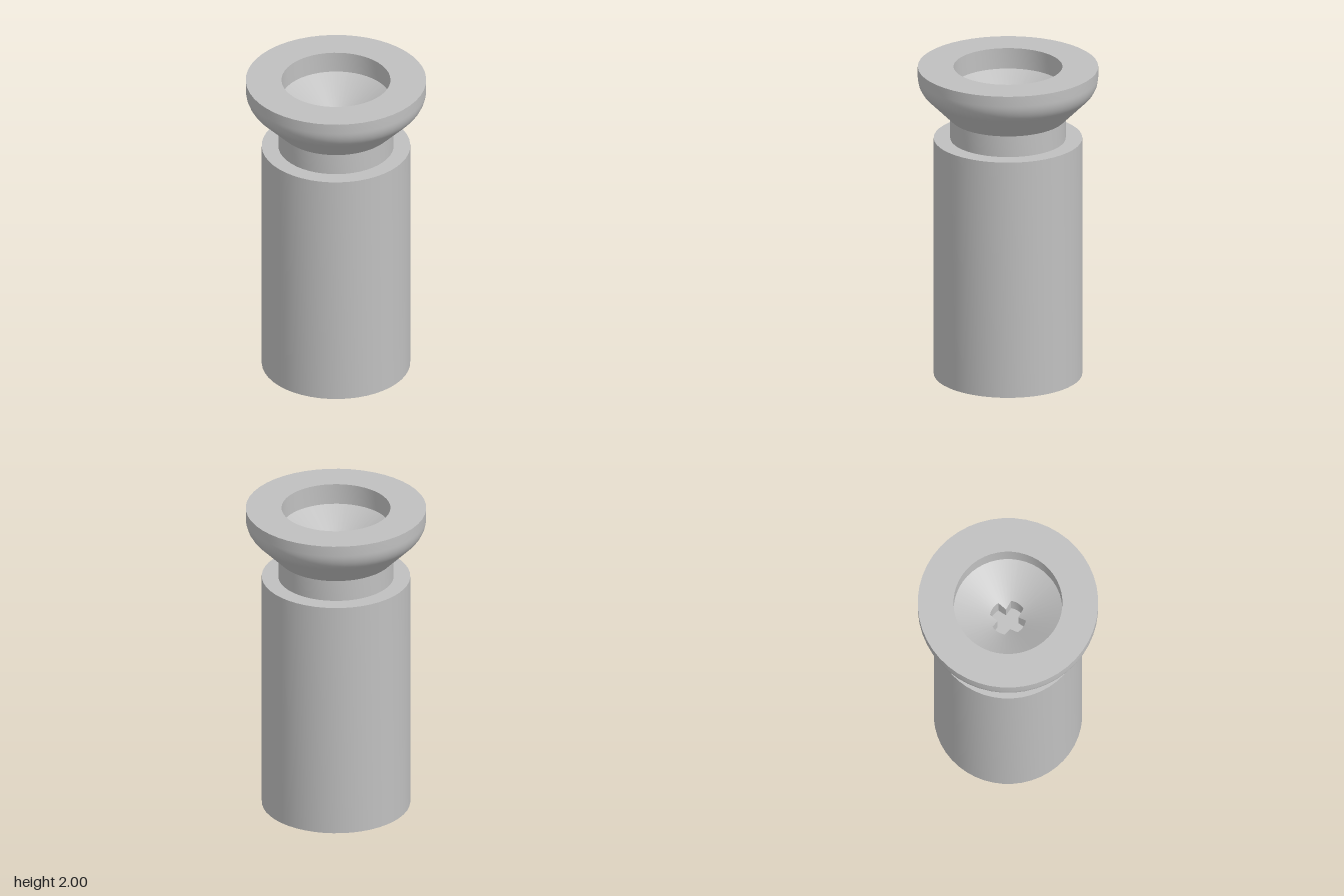
import * as THREE from 'three';
import { toCreasedNormals } from 'three/addons/utils/BufferGeometryUtils.js';

const SEGMENTS = 48;
const CREASE = Math.PI / 6;

export function createModel() {
  const group = new THREE.Group();
  const grey = new THREE.MeshStandardMaterial({ color: 0xc0c0c0 });
  grey.name = 'grey';

  const add = (name, geometry) => {
    const mesh = new THREE.Mesh(toCreasedNormals(geometry, CREASE), grey);
    mesh.name = name;
    group.add(mesh);
  };
  const turned = (name, profile) =>
    add(name, new THREE.LatheGeometry(profile.map(([r, y]) => new THREE.Vector2(r, y)), SEGMENTS));

  // Solid cylindrical body with a flat shoulder
  turned('body', [[0, 0], [0.457, 0], [0.457, 1.535], [0.355, 1.535]]);

  // Narrow neck
  turned('neck', [[0.355, 1.535], [0.355, 1.67]]);

  // Head: 45 degree flare, rounded shoulder, flat rim, straight bore
  const head = [[0.355, 1.67]];
  const round = 0.157, steps = 8;
  for (let i = 0; i <= steps; i++) {
    const a = (-Math.PI / 4) * (1 - i / steps);
    head.push([0.555 - round + round * Math.cos(a), 1.935 + round * Math.sin(a)]);
  }
  head.push([0.555, 2], [0.335, 2], [0.335, 1.867]);
  turned('head', head);

  // Conical seat with a cross-shaped recess at its centre
  const armRadius = 0.112, armHalf = 0.046, boreRadius = 0.335;
  const floorY = 1.6, coneY = (r) => 1.867 - 0.6 * (boreRadius - r);
  const corner = Math.asin(armHalf / armRadius);
  const angles = [];
  for (let q = 0; q < 4; q++) {
    const mid = (q * Math.PI) / 2;
    for (let i = -6; i < 6; i++) angles.push(mid + (i * 2 * Math.PI) / SEGMENTS);
    angles.push(mid - corner, mid + corner);
  }
  angles.sort((a, b) => a - b);

  // Distance from the axis to the cross outline
  const crossRadius = (t) => {
    const fromArm = Math.abs(t - Math.round(t / (Math.PI / 2)) * (Math.PI / 2));
    return Math.min(armRadius, armHalf / Math.max(Math.sin(fromArm), 1e-6));
  };
  const rowsAt = (t) => {
    const c = crossRadius(t);
    return [[0, floorY], [c, floorY], [c, coneY(c)], [boreRadius, coneY(boreRadius)]]
      .map(([r, y]) => [r * Math.sin(t), y, r * Math.cos(t)]);
  };
  const positions = [];
  angles.forEach((t, i) => {
    const a = rowsAt(t), b = rowsAt(angles[(i + 1) % angles.length]);
    for (let k = 0; k < 3; k++) {
      positions.push(...a[k], ...a[k + 1], ...b[k + 1]);
      if (k > 0) positions.push(...a[k], ...b[k + 1], ...b[k]);
    }
  });
  const seat = new THREE.BufferGeometry();
  seat.setAttribute('position', new THREE.Float32BufferAttribute(positions, 3));
  add('crossRecessSeat', seat);

  return group;
}
